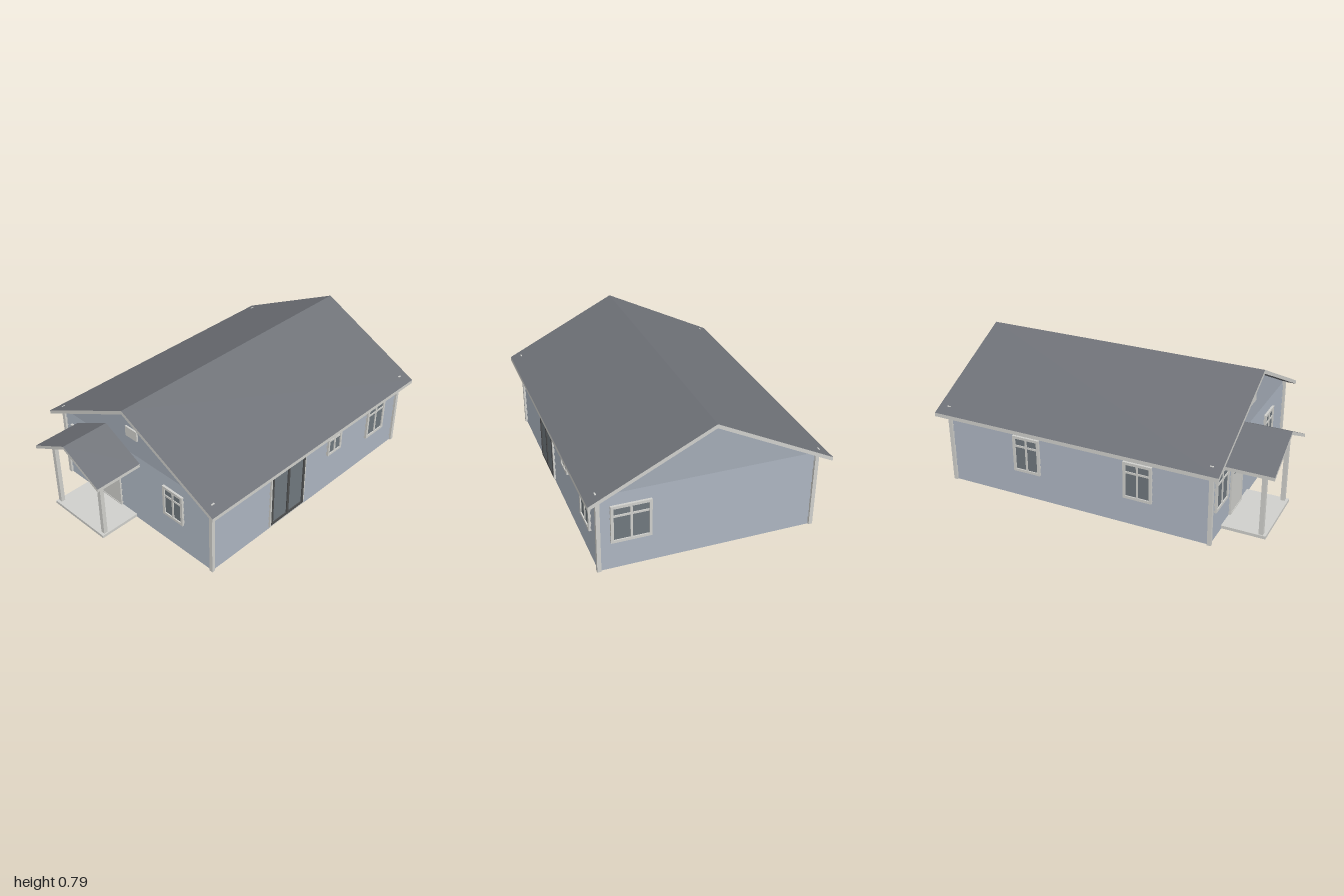
import * as THREE from 'three';

const mat = (name, color) => {
  const m = new THREE.MeshStandardMaterial({ color });
  m.name = name;
  return m;
};

export function createModel() {
  const wall = mat('blueGreySiding', 0xa3abb6);
  const trim = mat('offWhiteTrim', 0xd0d0cc);
  const roofing = mat('darkRoof', 0x6e7177);
  const glass = mat('windowGlass', 0x70787e);
  const darkFrame = mat('darkDoorFrame', 0x4c4d4e);

  const model = new THREE.Group();
  model.name = 'house';

  const add = (parent, name, geometry, material) => {
    const mesh = new THREE.Mesh(geometry, material);
    mesh.name = name;
    parent.add(mesh);
    return mesh;
  };
  // Box given by its limits on each axis
  const box = (parent, name, material, x0, x1, y0, y1, z0, z1) => {
    const g = new THREE.BoxGeometry(x1 - x0, y1 - y0, z1 - z0);
    g.translate((x0 + x1) / 2, (y0 + y1) / 2, (z0 + z1) / 2);
    return add(parent, name, g, material);
  };

  const HX = 0.612, HZ = 0.821, CZ = -0.119; // outer wall planes and house centre
  const THICK = 0.018, EAVE = 0.46, BOARDS = 10;
  const PITCH = 0.4963, RIDGE = 0.79, SLAB = 0.023;

  const house = new THREE.Group();
  house.name = 'mainHouse';
  house.position.z = CZ;
  model.add(house);

  // Wall frame: local x runs along the wall, z = 0 is its outer face
  function wallGroup(name, angle, distance, length) {
    const g = new THREE.Group();
    g.name = name;
    g.rotation.y = angle;
    g.position.set(Math.sin(angle) * distance, 0, Math.cos(angle) * distance);
    house.add(g);
    // Lapped boards, each leaning out at its lower edge
    const s = new THREE.Shape();
    const h = EAVE / BOARDS;
    s.moveTo(-THICK, 0);
    for (let i = 0; i < BOARDS; i++) {
      s.lineTo(0, i * h);
      s.lineTo(-0.008, (i + 1) * h);
    }
    s.lineTo(-0.008, EAVE + 0.008);
    s.lineTo(-THICK, EAVE + 0.008);
    s.closePath();
    const geo = new THREE.ExtrudeGeometry(s, { depth: length, bevelEnabled: false });
    geo.rotateY(-Math.PI / 2);
    geo.translate(length / 2, 0, 0);
    add(g, 'lapSiding', geo, wall);
    return g;
  }

  const front = wallGroup('frontWall', 0, HZ, 2 * HX - 0.02);
  const back = wallGroup('backWall', Math.PI, HZ, 2 * HX - 0.02);
  const right = wallGroup('sideWallWithSlidingDoor', Math.PI / 2, HX, 2 * HZ - 0.02);
  const left = wallGroup('sideWallWithWindows', -Math.PI / 2, HX, 2 * HZ - 0.02);

  // Plain gable ends above the siding
  for (const g of [front, back]) {
    const under = RIDGE - SLAB;
    const edge = HX - 0.01;
    const s = new THREE.Shape();
    s.moveTo(-edge, EAVE);
    s.lineTo(edge, EAVE);
    s.lineTo(edge, under - PITCH * edge);
    s.lineTo(0, under);
    s.lineTo(-edge, under - PITCH * edge);
    s.closePath();
    const geo = new THREE.ExtrudeGeometry(s, { depth: 0.011, bevelEnabled: false });
    geo.translate(0, 0, -THICK);
    add(g, 'gable', geo, wall);
  }

  // Rectangular frame with an open middle
  function frame(parent, name, material, x0, x1, y0, y1, w, z0, z1) {
    const s = new THREE.Shape([[x0, y0], [x1, y0], [x1, y1], [x0, y1]].map(p => new THREE.Vector2(...p)));
    s.holes.push(new THREE.Path([[x0 + w, y0 + w], [x0 + w, y1 - w], [x1 - w, y1 - w], [x1 - w, y0 + w]]
      .map(p => new THREE.Vector2(...p))));
    const geo = new THREE.ExtrudeGeometry(s, { depth: z1 - z0, bevelEnabled: false });
    geo.translate(0, 0, z0);
    add(parent, name, geo, material);
  }

  // Window with a cross of glazing bars, the pane passing through the wall
  function addWindow(parent, cx, width, y0, y1, barY, w = 0.016) {
    const g = new THREE.Group();
    g.name = 'window';
    parent.add(g);
    const x0 = cx - width / 2, x1 = cx + width / 2;
    box(g, 'pane', glass, x0 + 0.004, x1 - 0.004, y0 + 0.004, y1 - 0.004, -THICK - 0.002, 0.003);
    frame(g, 'windowFrame', trim, x0, x1, y0, y1, w, -0.012, 0.01);
    box(g, 'verticalBar', trim, cx - 0.006, cx + 0.006, y0 + w, y1 - w, 0, 0.008);
    box(g, 'horizontalBar', trim, x0 + w, x1 - w, barY - 0.006, barY + 0.006, 0, 0.0075);
  }
  addWindow(front, -0.46, 0.184, 0.165, 0.39, 0.327);
  addWindow(front, 0.318, 0.155, 0.19, 0.39, 0.327);
  addWindow(back, -0.432, 0.224, 0.165, 0.39, 0.327);
  addWindow(right, 0.725 + CZ, 0.172, 0.165, 0.39, 0.327);
  addWindow(right, 0.32 + CZ, 0.124, 0.245, 0.39, 0.347, 0.013);
  for (const z of [0.275, -0.425]) addWindow(left, z - CZ, 0.172, 0.165, 0.39, 0.327);

  // Front door with its small pane, and the gable vent
  box(front, 'frontDoor', trim, -0.305, -0.138, 0.014, 0.38, -THICK - 0.002, 0.005);
  frame(front, 'doorFrame', trim, -0.314, -0.13, 0.012, 0.39, 0.012, -0.012, 0.008);
  box(front, 'doorPane', glass, -0.27, -0.17, 0.26, 0.347, 0.004, 0.007);
  box(front, 'gableVent', trim, -0.047, 0.045, 0.577, 0.64, -0.012, 0.004);

  // Sliding door: local x is minus world z, shifted by the house centre
  const sx = -0.093 + CZ;
  box(right, 'slidingDoorPane', glass, sx - 0.135, sx + 0.135, 0.018, 0.39, -THICK - 0.002, 0.003);
  frame(right, 'slidingDoorTrim', trim, sx - 0.149, sx + 0.149, 0.012, 0.398, 0.01, -0.012, 0.008);
  frame(right, 'slidingDoorFrame', darkFrame, sx - 0.139, sx + 0.139, 0.022, 0.388, 0.014, -0.01, 0.01);
  box(right, 'slidingDoorMiddle', darkFrame, sx - 0.008, sx + 0.008, 0.036, 0.374, 0, 0.0095);

  // Corner posts, just showing through the roof
  for (const sxn of [-1, 1]) for (const szn of [-1, 1]) {
    const p = box(house, 'cornerPost', trim, -0.011, 0.011, 0, 0.485, -0.011, 0.011);
    p.position.set(sxn * 0.611, 0, szn * 0.82);
  }

  // Two-sided pitched roof: dark faces with pale fascia edges
  function addRoof(name, cx, half, ridge, pitch, slab, z0, z1) {
    const g = new THREE.Group();
    g.name = name;
    model.add(g);
    for (const side of [-1, 1]) {
      const geo = new THREE.BoxGeometry(half, slab, z1 - z0);
      geo.translate(side * half / 2, ridge - slab / 2, (z0 + z1) / 2);
      const p = geo.attributes.position;
      for (let i = 0; i < p.count; i++) p.setY(i, p.getY(i) - pitch * Math.abs(p.getX(i)));
      geo.translate(cx, 0, 0);
      geo.computeVertexNormals();
      add(g, 'roofSlope', geo, [trim, trim, roofing, roofing, trim, trim]);
    }
  }
  addRoof('mainRoof', 0, 0.675, RIDGE, PITCH, SLAB, -1, 0.76);
  addRoof('porchRoof', -0.221, 0.273, 0.565, 0.514, 0.02, 0.7, 1);

  // Porch
  const porch = new THREE.Group();
  porch.name = 'porch';
  model.add(porch);
  box(porch, 'porchFloor', trim, -0.436, -0.006, 0, 0.018, 0.69, 0.955);
  for (const x of [-0.417, -0.027])
    box(porch, 'porchPost', trim, x - 0.0125, x + 0.0125, 0.018, 0.447, 0.913, 0.938);
  const s = new THREE.Shape();
  s.moveTo(-0.389, 0.46);
  s.lineTo(-0.053, 0.46);
  s.lineTo(-0.221, 0.546);
  s.closePath();
  const gableGeo = new THREE.ExtrudeGeometry(s, { depth: 0.015, bevelEnabled: false });
  gableGeo.translate(0, 0, 0.918);
  add(porch, 'porchGable', gableGeo, wall);

  return model;
}
